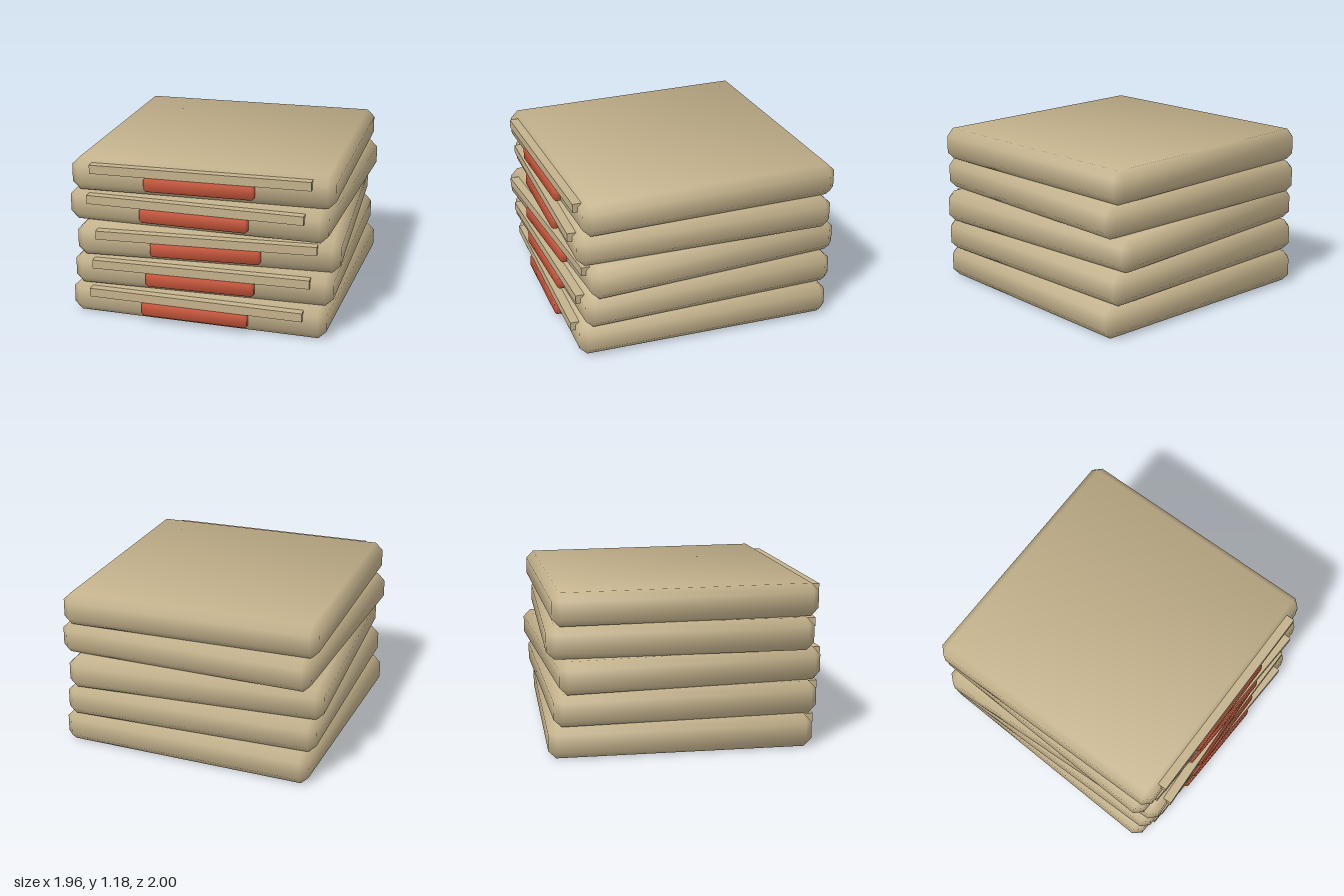
import * as THREE from 'three';
import { ConvexGeometry } from 'three/addons/geometries/ConvexGeometry.js';

const SIDE = 1.89;      // width and depth of one box
const HEIGHT = 0.236;   // height of one box
const PITCH = 0.237;    // stacking distance
const TWISTS = [-0.043, 0, 0.043, -0.043, 0];

// Box with a single bevel on every edge and corner, softly shaded
function beveledBox(w, h, d, c) {
  const half = [w / 2, h / 2, d / 2];
  const points = [];
  for (const sx of [-1, 1]) for (const sy of [-1, 1]) for (const sz of [-1, 1]) {
    const signs = [sx, sy, sz];
    for (let axis = 0; axis < 3; axis++) {
      points.push(new THREE.Vector3(...signs.map((s, i) => s * (half[i] - (i === axis ? 0 : c)))));
    }
  }
  const geometry = new ConvexGeometry(points);
  // Average the normals of the faces that meet at each corner point
  const pos = geometry.attributes.position;
  const normal = new THREE.Vector3();
  for (let i = 0; i < pos.count; i++) {
    const p = [pos.getX(i), pos.getY(i), pos.getZ(i)];
    normal.set(...p.map((v, k) => Math.sign(v) * (Math.abs(v) > half[k] - c / 2 ? 3 : 1.28))).normalize();
    geometry.attributes.normal.setXYZ(i, normal.x, normal.y, normal.z);
  }
  return geometry;
}

export function createModel() {
  const cardboard = new THREE.MeshStandardMaterial({ color: 0xc4b28c });
  cardboard.name = 'cardboard';
  const red = new THREE.MeshStandardMaterial({ color: 0xc8553a });
  red.name = 'red label';

  const bodyGeometry = beveledBox(SIDE, HEIGHT, SIDE, 0.055);
  const flapGeometry = new THREE.BoxGeometry(1.575, 0.063, 0.07);
  const labelGeometry = beveledBox(0.787, 0.105, 0.1, 0.015);

  const model = new THREE.Group();
  model.name = 'boxStack';

  TWISTS.forEach((twist, i) => {
    const box = new THREE.Group();
    box.name = `box${i + 1}`;
    const add = (name, geometry, material, y, z) => {
      const mesh = new THREE.Mesh(geometry, material);
      mesh.name = name;
      mesh.position.set(0, y, z);
      box.add(mesh);
    };
    add('body', bodyGeometry, cardboard, HEIGHT / 2, 0);
    add('lidFlap', flapGeometry, cardboard, 0.179, 0.945); // closing lip of the lid
    add('frontLabel', labelGeometry, red, 0.0985, 0.94);
    box.position.set(0, i * PITCH, -0.015);
    box.rotation.y = twist;
    model.add(box);
  });
  return model;
}
